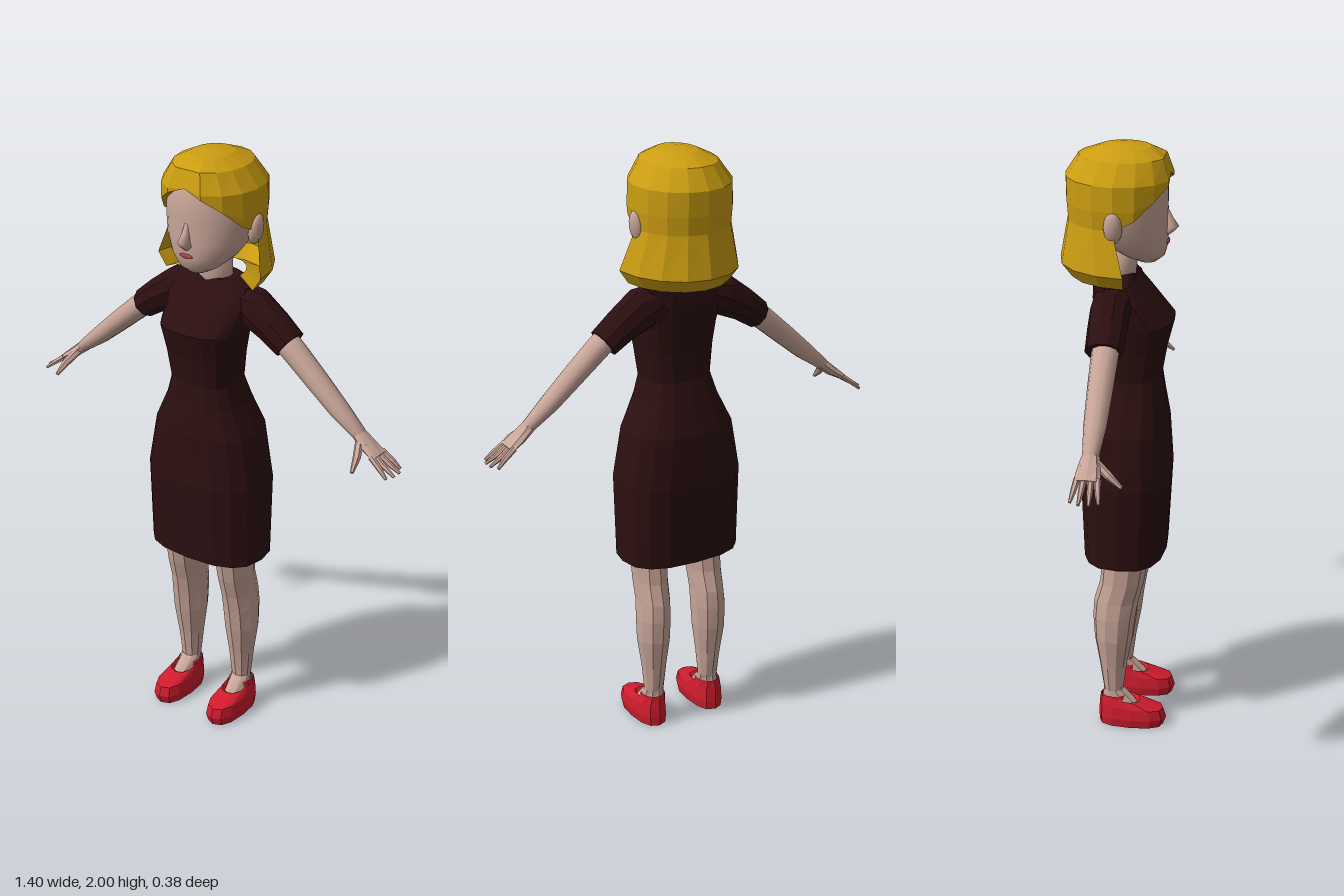
import * as THREE from 'three';

const V = (x, y, z) => new THREE.Vector3(x, y, z);

// Skin a list of rings (arrays of Vector3) into a surface.
function loft(rings, { smooth = false, open = false, capA = true, capB = true } = {}) {
  const n = rings[0].length, pos = [], idx = [];
  rings.forEach(r => r.forEach(p => pos.push(p.x, p.y, p.z)));
  const steps = open ? n - 1 : n;
  for (let k = 0; k < rings.length - 1; k++) {
    for (let i = 0; i < steps; i++) {
      const j = (i + 1) % n, a = k * n + i, b = k * n + j;
      idx.push(a, b, b + n, a, b + n, a + n);
    }
  }
  const cap = (k, flip) => {
    const c = rings[k].reduce((s, p) => s.add(p), V(0, 0, 0)).divideScalar(n);
    const m = pos.length / 3;
    pos.push(c.x, c.y, c.z);
    for (let i = 0; i < n; i++) {
      const a = k * n + i, b = k * n + (i + 1) % n;
      if (flip) idx.push(m, b, a); else idx.push(m, a, b);
    }
  };
  if (capA && !open) cap(0, true);
  if (capB && !open) cap(rings.length - 1, false);
  let g = new THREE.BufferGeometry();
  g.setAttribute('position', new THREE.Float32BufferAttribute(pos, 3));
  g.setIndex(idx);
  if (!smooth) g = g.toNonIndexed();
  g.computeVertexNormals();
  return g;
}

// Horizontal section: [y, centreX, halfWidth, zFront, zBack, yFront]; pow < 1 is boxier.
function section([y, cx, rx, zf, zb, yf = y], n, pow = 1) {
  const f = t => Math.sign(t) * Math.abs(t) ** pow;
  return Array.from({ length: n }, (_, i) => {
    const t = (i / n) * Math.PI * 2, s = f(Math.sin(t)), c = f(Math.cos(t));
    return V(cx + rx * s, y + (yf - y) * (c + 1) / 2, (zf + zb) / 2 + (zf - zb) / 2 * c);
  });
}
const body = (rows, n, opts = {}) => loft(rows.map(r => section(r, n, opts.pow)), opts);

// Limb through points [x, y, z, radius, depthRadius].
function limb(pts, n, opts) {
  const c = pts.map(p => V(p[0], p[1], p[2]));
  return loft(pts.map((p, k) => {
    const d = c[Math.min(k + 1, c.length - 1)].clone().sub(c[Math.max(k - 1, 0)]).normalize();
    const u = V(0, 0, 1).addScaledVector(d, -d.z).normalize();
    const v = d.clone().cross(u);
    return Array.from({ length: n }, (_, i) => {
      const t = (i / n) * Math.PI * 2;
      return c[k].clone().addScaledVector(u, Math.cos(t) * p[4]).addScaledVector(v, Math.sin(t) * p[3]);
    });
  }), opts);
}

export function createModel() {
  const group = new THREE.Group();
  const mat = (name, color, side = THREE.FrontSide) =>
    Object.assign(new THREE.MeshStandardMaterial({ color, side }), { name });
  const skin = mat('skin', 0xc8a598);
  const hair = mat('hair', 0xcb9d12, THREE.DoubleSide);
  const cloth = mat('dress cloth', 0x2c0f10, THREE.DoubleSide);
  const red = mat('shoe red', 0xd01c2e, THREE.DoubleSide);
  const lip = mat('lips', 0xa8434a);
  const add = (name, geo, m) => {
    const mesh = new THREE.Mesh(geo, m);
    mesh.name = name;
    group.add(mesh);
    return mesh;
  };

  // Dress, open at the hem
  add('dress', body([
    [0.615, 0, 0.207, 0.16, -0.108],
    [0.9, 0, 0.212, 0.175, -0.12],
    [1.07, 0, 0.182, 0.165, -0.112],
    [1.17, 0, 0.135, 0.15, -0.08],
    [1.24, 0, 0.115, 0.14, -0.056],
    [1.34, 0, 0.126, 0.157, -0.06],
    [1.43, 0, 0.14, 0.18, -0.072],
    [1.51, 0, 0.15, 0.108, -0.08],
    [1.565, 0, 0.14, 0.058, -0.078],
    [1.585, 0, 0.075, 0.05, -0.065],
  ], 16, { pow: 0.75, capA: false }), cloth);

  // Neck and head
  add('neck', body([
    [1.54, 0, 0.065, 0.052, -0.055],
    [1.59, 0, 0.058, 0.055, -0.05],
    [1.68, 0, 0.056, 0.065, -0.05],
  ], 12, { smooth: true }), skin);
  add('head', body([
    [1.622, 0, 0.03, 0.12, 0.06],
    [1.642, 0, 0.068, 0.145, 0.02],
    [1.68, 0, 0.108, 0.156, -0.05],
    [1.73, 0, 0.138, 0.156, -0.1],
    [1.8, 0, 0.152, 0.155, -0.14],
    [1.86, 0, 0.15, 0.155, -0.145],
    [1.92, 0, 0.13, 0.14, -0.13],
    [1.96, 0, 0.08, 0.1, -0.08],
  ], 28, { smooth: true }), skin);
  add('nose', body([
    [1.708, 0, 0.01, 0.158, 0.14],
    [1.722, 0, 0.021, 0.176, 0.14],
    [1.738, 0, 0.019, 0.19, 0.14],
    [1.765, 0, 0.012, 0.171, 0.14],
    [1.795, 0, 0.007, 0.156, 0.14],
  ], 10, { smooth: true }), skin);
  const mouth = add('mouth', new THREE.SphereGeometry(1, 12, 8), lip);
  mouth.scale.set(0.026, 0.008, 0.006);
  mouth.position.set(0, 1.688, 0.155);

  // Hair cap: rings drop to a hairline that rises to the parting
  const N = 16, line = [1.91, 1.885, 1.845, 1.79, 1.76];
  const capRows = [
    [1.76, 0.163, 0.17, -0.165], [1.82, 0.168, 0.175, -0.17], [1.9, 0.165, 0.178, -0.172],
    [1.965, 0.12, 0.155, -0.13], [1.992, 0.065, 0.1, -0.06], [2.0, 0.02, 0.04, -0.01],
  ];
  const capAt = (y, i, shrink = 1) => {
    let k = 0;
    while (k < capRows.length - 2 && y > capRows[k + 1][0]) k++;
    const a = capRows[k], b = capRows[k + 1], t = (y - a[0]) / (b[0] - a[0]);
    const [, rx, zf, zb] = a.map((q, m) => q + (b[m] - q) * t);
    const ang = (i / N) * Math.PI * 2;
    const part = i === 0 && y < 1.99 ? 0.012 : 0;
    return V(rx * Math.sin(ang) * shrink, y, ((zf + zb) / 2 + (zf - zb) / 2 * Math.cos(ang) - part) * shrink);
  };
  const capRing = (y, shrink) => Array.from({ length: N }, (_, i) =>
    capAt(Math.max(y, line[Math.min(i, N - i, 4)]), i, shrink));
  add('hairCap', loft([capRing(1.76, 0.87), ...capRows.map(r => capRing(r[0]))], { capA: false }), hair);

  // Back hair: a half-round curtain with a turned-in lower edge
  const curtain = [
    [1.6, 0, 0.1, 0.12, -0.1], [1.575, 0, 0.17, 0.23, -0.155],
    [1.62, 0, 0.2, 0.27, -0.19], [1.76, 0, 0.163, 0.17, -0.165],
  ].map(r => section(r, N).slice(N / 4, 3 * N / 4 + 1));
  add('backHair', loft(curtain, { open: true }), hair);

  for (const s of [1, -1]) {
    const side = s > 0 ? 'left' : 'right';
    const flip = pts => pts.map(([x, ...r]) => [x * s, ...r]);
    const arm = (name, pts, n, m, opts) => add(side + name, limb(flip(pts), n, opts), m);

    // Ear
    const ear = add(side + 'Ear', new THREE.SphereGeometry(1, 12, 8), skin);
    ear.scale.set(0.022, 0.053, 0.03);
    ear.position.set(0.157 * s, 1.768, 0.003);
    ear.rotation.z = -0.15 * s;

    // Sleeve and arm
    arm('Sleeve', [
      [0.07, 1.53, -0.005, 0.045, 0.06],
      [0.145, 1.5, -0.005, 0.07, 0.065],
      [0.22, 1.455, -0.005, 0.058, 0.063],
      [0.285, 1.407, -0.005, 0.05, 0.06],
    ], 10, cloth);
    arm('Arm', [
      [0.24, 1.445, 0, 0.04, 0.045],
      [0.31, 1.388, 0, 0.04, 0.043],
      [0.4, 1.31, 0, 0.036, 0.04],
      [0.48, 1.24, 0, 0.031, 0.036],
      [0.56, 1.175, 0, 0.02, 0.026],
    ], 10, skin, { smooth: true });

    // Hand
    arm('Palm', [
      [0.55, 1.182, 0, 0.02, 0.026],
      [0.59, 1.15, 0, 0.018, 0.036],
      [0.632, 1.122, 0, 0.012, 0.042],
    ], 8, skin);
    arm('Thumb', [
      [0.568, 1.163, 0.015, 0.014, 0.014],
      [0.588, 1.128, 0.06, 0.013, 0.013],
      [0.597, 1.095, 0.1, 0.006, 0.006],
    ], 6, skin);
    [[-0.031, -0.043, 0.685], [-0.011, -0.015, 0.7], [0.011, 0.017, 0.7], [0.031, 0.045, 0.688]]
      .forEach(([z0, z1, x1], i) => arm('Finger' + (i + 1), [
        [0.622, 1.128, z0, 0.01, 0.011],
        [0.66, 1.1, (z0 + z1) / 2, 0.009, 0.009],
        [x1, 1.077, z1, 0.005, 0.005],
      ], 6, skin));

    // Leg with instep
    add(side + 'Leg', body([
      [0.075, 0.11, 0.036, 0.085, -0.04, 0.07],
      [0.09, 0.11, 0.035, 0.078, -0.04, 0.08],
      [0.125, 0.107, 0.034, 0.03, -0.036],
      [0.22, 0.107, 0.043, 0.042, -0.05],
      [0.32, 0.108, 0.056, 0.06, -0.067],
      [0.4, 0.107, 0.058, 0.07, -0.072],
      [0.46, 0.105, 0.056, 0.08, -0.068],
      [0.53, 0.104, 0.058, 0.098, -0.048],
      [0.62, 0.102, 0.063, 0.112, -0.042],
      [0.85, 0.1, 0.08, 0.13, -0.07],
    ].map(([y, x, ...r]) => [y, x * s, ...r]), 10), skin);

    // Shoe with open top, and ankle strap
    add(side + 'Shoe', body([
      [0, 0.112, 0.049, 0.168, -0.05],
      [0.03, 0.112, 0.054, 0.178, -0.052],
      [0.075, 0.112, 0.05, 0.168, -0.05, 0.062],
      [0.105, 0.11, 0.041, 0.088, -0.046, 0.085],
      [0.095, 0.11, 0.034, 0.076, -0.038, 0.075],
    ].map(([y, x, ...r]) => [y, x * s, ...r]), 12, { pow: 0.8, capB: false }), red);
    add(side + 'Strap', body([
      [0.094, 0.109, 0.041, 0.052, -0.045],
      [0.108, 0.109, 0.039, 0.045, -0.043],
    ].map(([y, x, ...r]) => [y, x * s, ...r]), 12, { capA: false, capB: false }), red);
  }
  return group;
}
